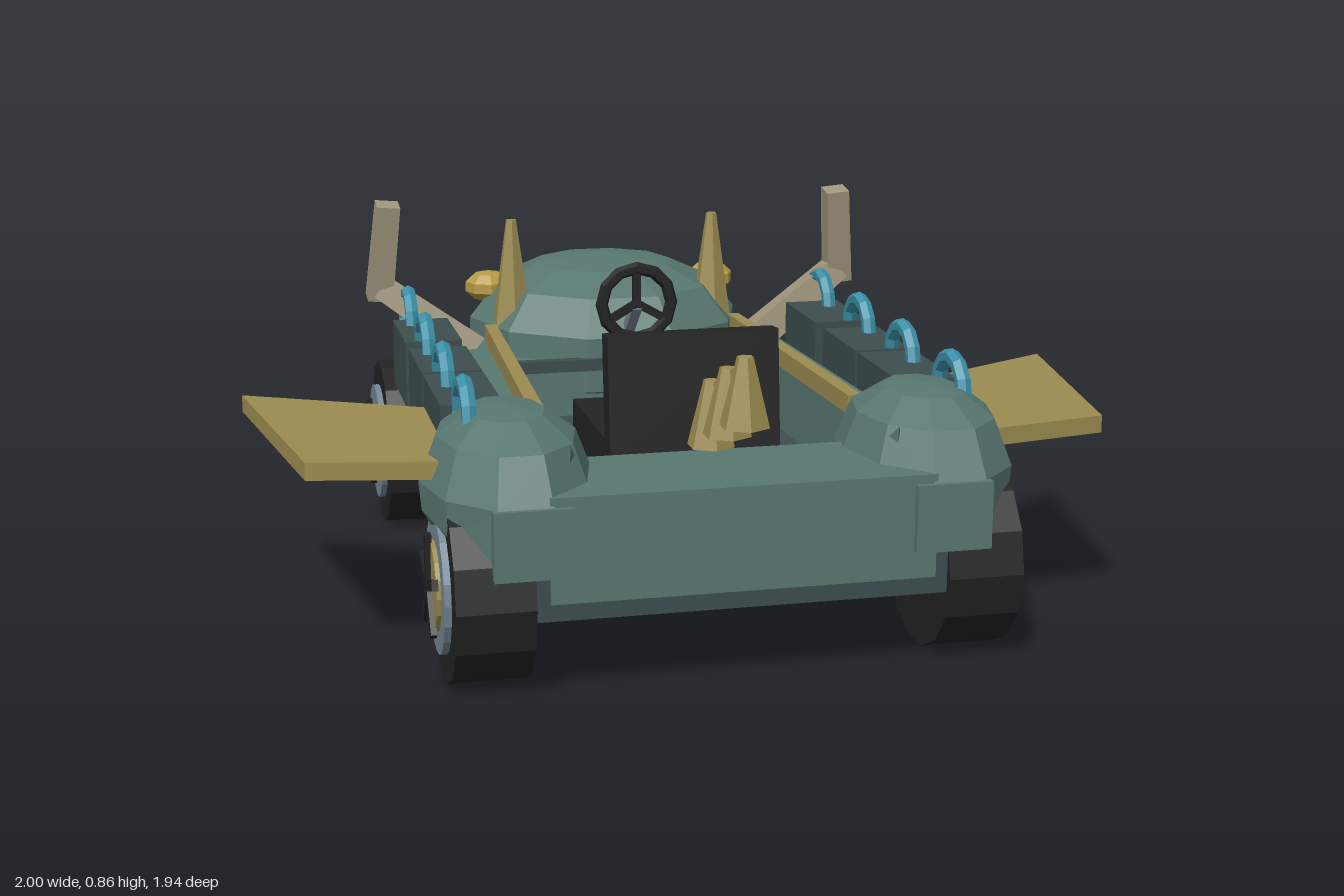
import * as THREE from 'three';

const mat = (name, color) => {
  const m = new THREE.MeshStandardMaterial({ color });
  m.name = name;
  return m;
};

export function createModel() {
  const teal = mat('teal hull', 0x587770), dark = mat('dark teal', 0x3d4d4e);
  const gold = mat('old gold', 0x9c8b50), bright = mat('bright gold', 0xb89a45);
  const bone = mat('bone', 0xa0967c), cyan = mat('cyan', 0x3c91a8);
  const black = mat('black', 0x232323), steel = mat('steel blue', 0x748793);

  const model = new THREE.Group();
  model.name = 'creatureKart';

  // Adds a faceted mesh
  function add(parent, name, geo, material, x = 0, y = 0, z = 0) {
    const g = geo.index ? geo.toNonIndexed() : geo;
    g.computeVertexNormals();
    const mesh = new THREE.Mesh(g, material);
    mesh.name = name;
    mesh.position.set(x, y, z);
    parent.add(mesh);
    return mesh;
  }
  const box = (w, h, d) => new THREE.BoxGeometry(w, h, d);
  // Plan outline of [x, z] points, extruded from y0 up to y1
  function slab(points, y0, y1) {
    const shape = new THREE.Shape(points.map(([x, z]) => new THREE.Vector2(x, z)));
    const g = new THREE.ExtrudeGeometry(shape, { depth: y1 - y0, bevelEnabled: false });
    return g.rotateX(Math.PI / 2).translate(0, y1, 0);
  }
  const mirrored = (pts) => [...pts, ...pts.map(([x, z]) => [-x, z]).reverse()];
  // Faceted dome turned from a [radius, y] profile, stretched to an oval
  function dome(profile, rx, rz) {
    const pts = profile.map(([r, y]) => new THREE.Vector2(r, y));
    return new THREE.LatheGeometry(pts, 10, Math.PI / 10).scale(rx, 1, rz);
  }
  // Tapered square bar between two points
  function bar(parent, name, a, b, r0, r1, material) {
    const A = new THREE.Vector3(...a), B = new THREE.Vector3(...b);
    const g = new THREE.CylinderGeometry(r1, r0, A.distanceTo(B), 4).rotateY(Math.PI / 4);
    const m = add(parent, name, g, material);
    m.position.copy(A).add(B).multiplyScalar(0.5);
    m.quaternion.setFromUnitVectors(new THREE.Vector3(0, 1, 0), B.sub(A).normalize());
    return m;
  }

  // Chassis, front deck and bulkhead
  add(model, 'chassis', slab(mirrored([[0.46, 0.94], [0.42, -0.55], [0.15, -0.86]]), 0.18, 0.32), dark);
  add(model, 'frontDeck', box(0.84, 0.23, 0.3), teal, 0, 0.335, 0.8);
  add(model, 'bulkhead', box(0.62, 0.14, 0.36), teal, 0, 0.385, -0.39);
  add(model, 'bulkheadLip', box(0.62, 0.03, 0.03), dark, 0, 0.455, -0.205);

  // Rear shell and tail block
  const shell = [[0, 0.28], [0.68, 0.3], [1, 0.38], [1, 0.52], [0.8, 0.61], [0.5, 0.66], [0, 0.685]];
  add(model, 'rearShell', dome(shell, 0.365, 0.37), teal, 0, 0, -0.555);
  const tail = box(0.3, 0.13, 0.24);
  const tp = tail.attributes.position;
  for (let i = 0; i < tp.count; i++) {
    if (tp.getZ(i) < 0 && tp.getY(i) > 0) tp.setXYZ(i, tp.getX(i) * 0.93, tp.getY(i) - 0.02, tp.getZ(i) + 0.025);
  }
  add(model, 'tailBlock', tail, teal, 0, 0.35, -0.85);

  // Seat, facing the rear shell
  add(model, 'seatCushion', box(0.4, 0.12, 0.42), black, 0, 0.37, 0.26);
  const back = add(model, 'seatBack', box(0.4, 0.3, 0.06), black, 0, 0.525, 0.455);
  back.rotation.x = -0.1;
  add(back, 'seatBackPanel', box(0.3, 0.19, 0.008), dark, 0, 0.02, -0.032);

  // Steering wheel
  const steering = new THREE.Group();
  steering.name = 'steeringWheel';
  steering.position.set(0, 0.625, -0.13);
  model.add(steering);
  add(steering, 'steeringRim', new THREE.TorusGeometry(0.09, 0.016, 6, 12), black);
  for (let i = 0; i < 3; i++) {
    const a = Math.PI / 2 + (i * Math.PI * 2) / 3;
    const s = add(steering, 'steeringSpoke', box(0.09, 0.02, 0.014), black, 0.045 * Math.cos(a), 0.045 * Math.sin(a), 0);
    s.rotation.z = a;
  }
  bar(model, 'steeringColumn', [0, 0.52, -0.25], [0, 0.62, -0.13], 0.018, 0.018, steel);

  // Rising row of spikes over the front deck
  [[0.915, 0.57], [0.775, 0.515], [0.635, 0.455]].forEach(([z, y]) =>
    add(model, 'deckSpike', new THREE.CylinderGeometry(0.018, 0.055, 0.15, 6), gold, 0, y + 0.075, z));

  // Wheel with rim, hub disc and five spokes
  function wheel(parent, name, z) {
    const w = new THREE.Group();
    w.name = name;
    w.position.set(0.535, 0.213, z);
    parent.add(w);
    const disc = (r, h, n) => new THREE.CylinderGeometry(r, r, h, n).rotateZ(-Math.PI / 2);
    add(w, 'tyre', disc(0.214, 0.17, 14), black);
    add(w, 'rim', disc(0.15, 0.02, 20), steel, 0.09);
    add(w, 'hubDisc', disc(0.1, 0.02, 16), gold, 0.1);
    for (let i = 0; i < 5; i++) {
      const spoke = box(0.014, 0.115, 0.024).translate(0.114, 0.0575, 0);
      add(w, 'wheelSpoke', spoke, black).rotation.x = (i * Math.PI * 2) / 5;
    }
  }

  // Everything that exists on both sides
  for (const s of [1, -1]) {
    const side = new THREE.Group();
    side.name = s > 0 ? 'leftSide' : 'rightSide';
    side.scale.x = s;
    model.add(side);

    wheel(side, 'frontWheel', 0.745);
    wheel(side, 'rearWheel', -0.47);

    // Cockpit wall and the rail on top of it
    add(side, 'cockpitWall', slab([[0.31, -0.54], [0.41, -0.54], [0.46, 0.5], [0.36, 0.66]], 0.32, 0.48), teal);
    add(side, 'rail', slab([[0.315, -0.42], [0.345, -0.42], [0.385, 0.53], [0.35, 0.53]], 0.48, 0.525), gold);

    // Front fender, its lower rim raised over the wheel
    const fender = dome([[0, 0.2], [0.55, 0.22], [0.97, 0.28], [1, 0.43], [0.8, 0.53], [0.45, 0.58], [0, 0.592]], 0.19, 0.27);
    const p = fender.attributes.position;
    for (let i = 0; i < p.count; i++) {
      if (Math.abs(p.getY(i) - 0.28) < 0.001) p.setY(i, 0.28 + 0.09 * Math.max(0, p.getX(i) / 0.19));
    }
    add(side, 'frontFender', fender, teal, 0.47, 0, 0.695);
    add(side, 'fenderBlock', box(0.17, 0.15, 0.12), teal, 0.455, 0.355, 0.905);
    const nub = add(side, 'fenderNub', new THREE.ConeGeometry(0.035, 0.08, 3), teal, 0.36, 0.5, 0.84);
    nub.rotation.x = 0.5;

    // Side armour panels
    [[0.28, 0.58], [0, 0.26], [-0.34, -0.07]].forEach(([z0, z1]) =>
      add(side, 'sidePanel', box(0.14, 0.165, z1 - z0), dark, 0.525, 0.4825, (z0 + z1) / 2));
    add(side, 'panelBeam', box(0.12, 0.04, 0.86), dark, 0.46, 0.42, 0.1);

    // Rings along the panels
    for (const z of [0.655, 0.32, -0.013, -0.35]) {
      add(side, 'ring', new THREE.TorusGeometry(0.082, 0.018, 6, 12).rotateY(Math.PI / 2), cyan, 0.553, 0.553, z);
    }

    // Flat wing
    add(side, 'wing', slab([[1, 0.08], [0.9, 0.705], [0.62, 0.76], [0.42, 0.72], [0.4, 0.39]], 0.45, 0.49), gold);

    // Bent horn, spike and eye
    bar(side, 'hornBase', [0.38, 0.47, -0.37], [0.615, 0.64, -0.415], 0.055, 0.045, bone);
    bar(side, 'hornTip', [0.62, 0.61, -0.42], [0.597, 0.86, -0.375], 0.046, 0.042, bone);
    add(side, 'shellSpike', new THREE.CylinderGeometry(0.014, 0.065, 0.35, 6), gold, 0.27, 0.625, -0.43);
    add(side, 'eye', new THREE.SphereGeometry(0.065, 8, 5).scale(1, 0.65, 1), bright, 0.308, 0.595, -0.595);
  }
  return model;
}
